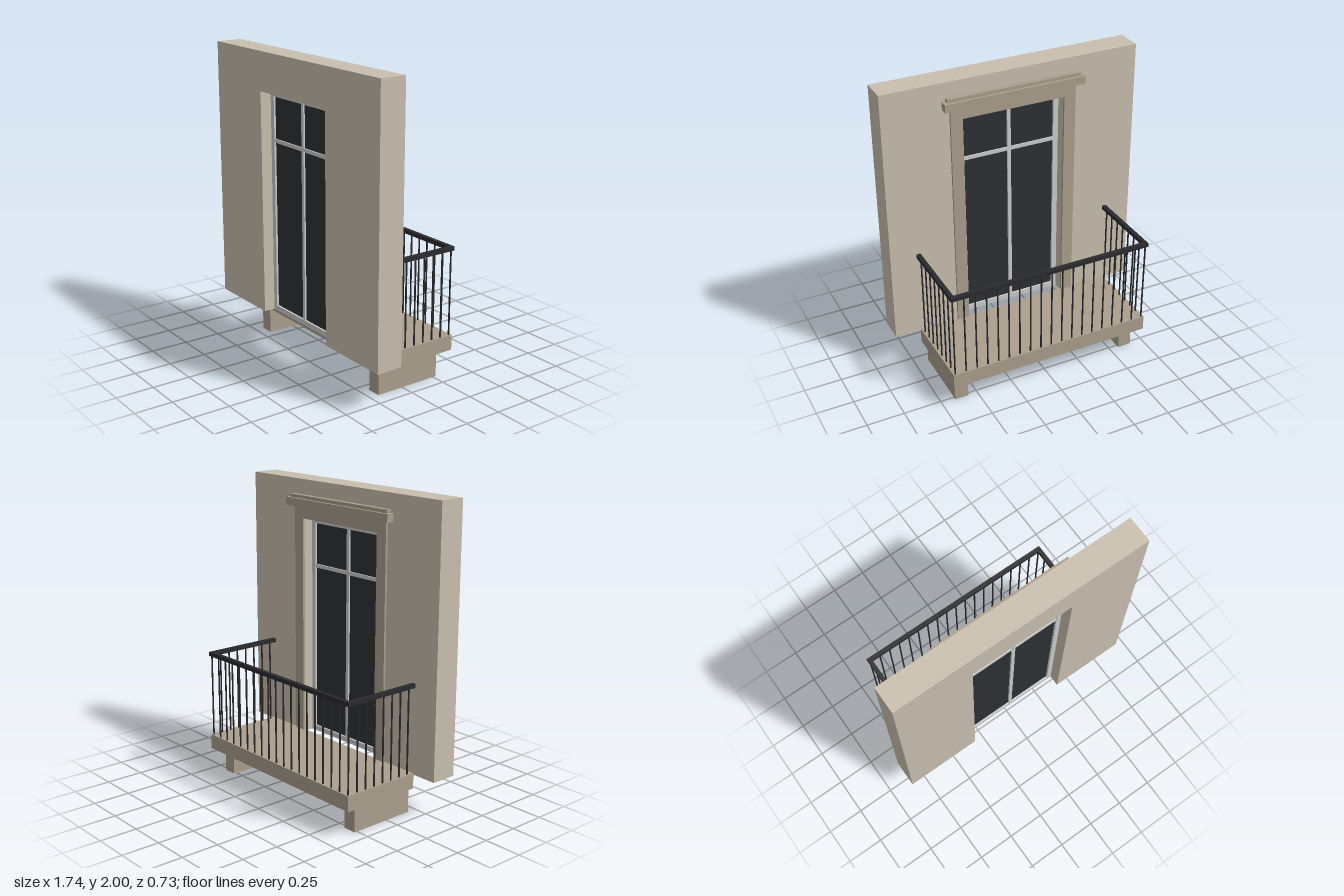
import * as THREE from 'three';

const material = (color) => new THREE.MeshStandardMaterial({ color });

export function createModel() {
  const model = new THREE.Group();
  const plaster = material(0xc9bfb0);
  const stone = material(0xab9f8d);
  const iron = material(0x2b2b2e);
  const paint = material(0xc6c9c5);
  const glass = material(0x2d3134);

  const group = (name) => {
    const g = new THREE.Group();
    g.name = name;
    model.add(g);
    return g;
  };

  // Box given by its limits on each axis
  const box = (name, mat, [x0, x1], [y0, y1], [z0, z1], parent = model) => {
    const mesh = new THREE.Mesh(new THREE.BoxGeometry(x1 - x0, y1 - y0, z1 - z0), mat);
    mesh.position.set((x0 + x1) / 2, (y0 + y1) / 2, (z0 + z1) / 2);
    mesh.name = name;
    parent.add(mesh);
    return mesh;
  };

  // Upside-down U: a slab with a doorway open at the bottom
  const portal = (name, mat, outer, top, inner, innerTop, bottom, z0, z1) => {
    const shape = new THREE.Shape([
      [-outer, bottom], [-inner, bottom], [-inner, innerTop], [inner, innerTop],
      [inner, bottom], [outer, bottom], [outer, top], [-outer, top],
    ].map(([x, y]) => new THREE.Vector2(x, y)));
    const geometry = new THREE.ExtrudeGeometry(shape, { depth: z1 - z0, bevelEnabled: false });
    const mesh = new THREE.Mesh(geometry, mat);
    mesh.position.z = z0;
    mesh.name = name;
    model.add(mesh);
  };

  // Wall and the trim around the doorway on the balcony side
  portal('wall', plaster, 0.87, 2, 0.35, 1.745, 0.265, 0.187, 0.362);
  portal('doorSurround', stone, 0.43, 1.825, 0.35, 1.745, 0.272, 0.172, 0.187);
  box('corniceLower', stone, [-0.477, 0.477], [1.825, 1.878], [0.135, 0.187]);
  box('corniceUpper', stone, [-0.455, 0.455], [1.878, 1.9], [0.153, 0.187]);

  // Door: frame, bars and glass
  const door = group('balconyDoor');
  const depth = [0.252, 0.287];
  for (const s of [-1, 1]) {
    const mid = s * 0.3325;
    box('frameStile', paint, [mid - 0.0175, mid + 0.0175], [0.265, 1.745], depth, door);
  }
  box('frameHead', paint, [-0.315, 0.315], [1.71, 1.745], depth, door);
  box('frameSill', paint, [-0.315, 0.315], [0.265, 0.3], depth, door);
  box('mullion', paint, [-0.012, 0.012], [0.3, 1.71], [0.254, 0.285], door);
  box('transom', paint, [-0.315, 0.315], [1.412, 1.436], [0.255, 0.284], door);
  box('glassPane', glass, [-0.315, 0.315], [0.3, 1.71], [0.265, 0.274], door);

  // Balcony slab on two brackets
  box('balconySlab', stone, [-0.696, 0.696], [0.173, 0.274], [-0.362, 0.187]);
  for (const s of [-1, 1]) {
    const mid = s * 0.61;
    box('bracket', stone, [mid - 0.046, mid + 0.046], [0, 0.173], [-0.272, 0.187]);
  }

  // Handrail on three sides
  const railing = group('railing');
  const railY = [0.833, 0.86];
  box('frontHandrail', iron, [-0.695, 0.695], railY, [-0.364, -0.336], railing);
  for (const s of [-1, 1]) {
    const mid = s * 0.681;
    box('sideHandrail', iron, [mid - 0.014, mid + 0.014], railY, [-0.336, 0.187], railing);
  }

  // Balusters: a front row, then both sides back to the wall
  const rod = new THREE.CylinderGeometry(0.0055, 0.0055, 0.56, 8);
  const baluster = (x, z) => {
    const mesh = new THREE.Mesh(rod, iron);
    mesh.position.set(x, 0.554, z);
    mesh.name = 'baluster';
    railing.add(mesh);
  };
  const bays = 18;
  for (let i = 0; i <= bays; i++) baluster(-0.681 + (1.362 * i) / bays, -0.349);
  for (let i = 1; i <= 7; i++) {
    for (const s of [-1, 1]) baluster(s * 0.681, -0.349 + i * 0.0705);
  }

  return model;
}
